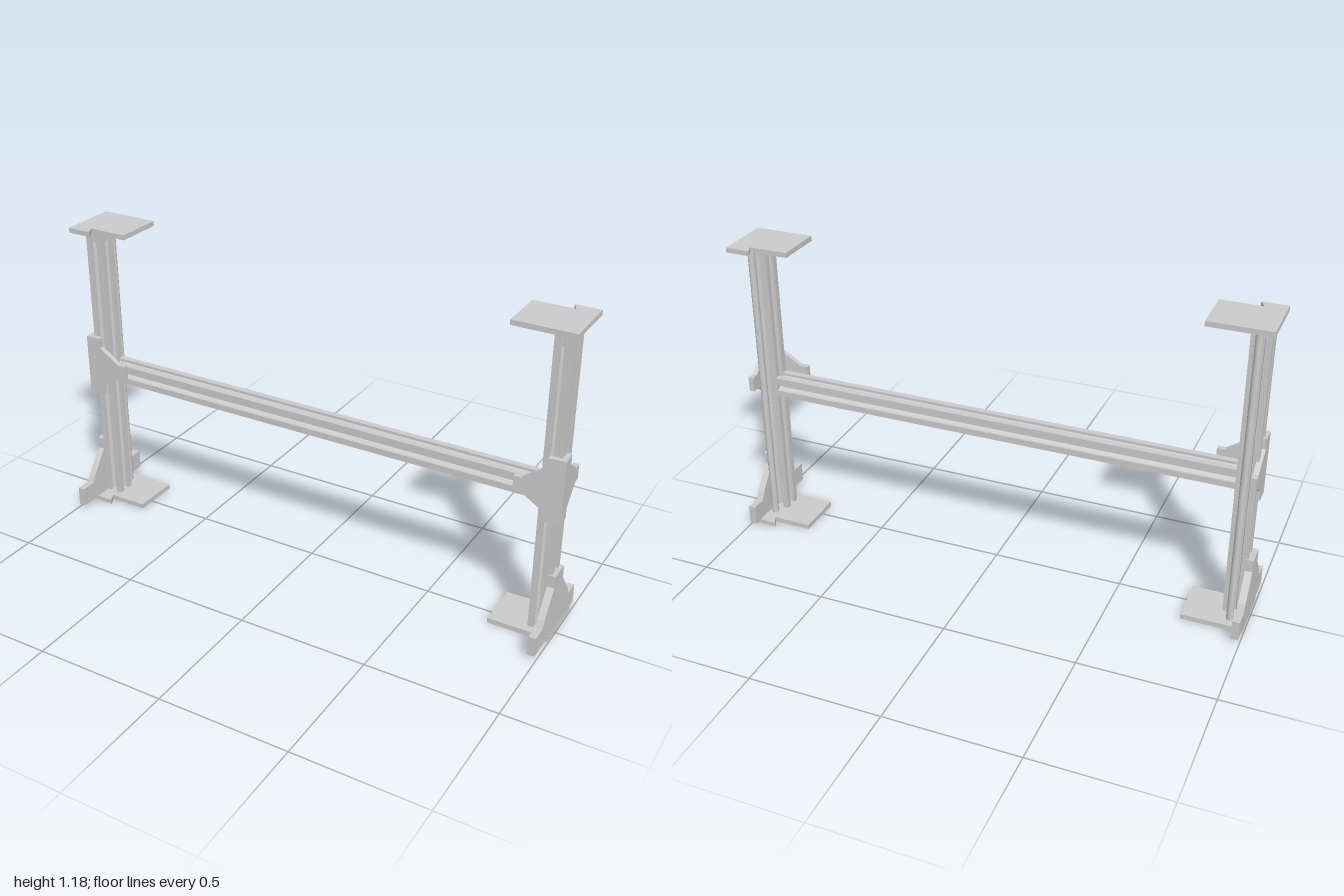
import * as THREE from 'three';

const material = new THREE.MeshStandardMaterial({ color: 0xcccccc, flatShading: true });
const smooth = new THREE.MeshStandardMaterial({ color: 0xcccccc });

function add(parent, name, geometry, mat = material) {
  const mesh = new THREE.Mesh(geometry, mat);
  mesh.name = name;
  parent.add(mesh);
  return mesh;
}

function extrude(points, depth) {
  const shape = new THREE.Shape(points.map(([x, y]) => new THREE.Vector2(x, y)));
  return new THREE.ExtrudeGeometry(shape, { depth, bevelEnabled: false });
}

// Square profile with an undercut slot in each of its four sides
function slottedBar(length, h) {
  const side = [
    [h, -0.014], [h - 0.01, -0.014], [h - 0.01, -0.022], [0.012, -0.008],
    [0.012, 0.008], [h - 0.01, 0.022], [h - 0.01, 0.014], [h, 0.014], [h, h],
  ];
  const outline = [];
  for (let i = 0; i < 4; i++) {
    const c = Math.round(Math.cos(i * Math.PI / 2));
    const s = Math.round(Math.sin(i * Math.PI / 2));
    for (const [x, y] of side) outline.push([c * x - s * y, s * x + c * y]);
  }
  return extrude(outline, length);
}

// End plate with one tab at its outer corner
function endPlate() {
  const outline = [
    [0.767, -0.066], [0.995, -0.066], [0.995, 0.156],
    [0.9, 0.156], [0.918, 0.12], [0.767, 0.12],
  ];
  return extrude(outline, 0.019).rotateX(-Math.PI / 2);
}

// Stepped, tapering plate standing across the foot of a post
function footBracket() {
  const half = [[0.187, 0.017], [0.187, 0.092], [0.126, 0.092], [0.112, 0.12], [0.041, 0.213], [0.041, 0.26]];
  const mirrored = half.map(([z, y]) => [-z, y]).reverse();
  return extrude([...half, ...mirrored], 0.027).rotateY(Math.PI / 2);
}

// Corner bracket: two identical plates meeting along a vertical edge
function cornerBracket() {
  const bracket = new THREE.Group();
  bracket.name = 'cornerBracket';
  const t = 0.02;
  const upper = [[-0.175, 0.028], [-0.145, 0.028], [-0.062, 0.084], [-0.062, 0.123], [0, 0.123]];
  const lower = upper.map(([x, y]) => [x, -y]).reverse();
  const outline = [...upper, ...lower];
  add(bracket, 'frontArm', extrude(outline, t).translate(0, 0, -t));
  add(bracket, 'sideArm', extrude(outline, t).rotateY(-Math.PI / 2));
  return bracket;
}

export function createModel() {
  const model = new THREE.Group();
  model.name = 'frame';

  for (const side of [1, -1]) {
    const label = side > 0 ? 'left' : 'right';
    const x = side > 0 ? 0.943 : -0.938;
    const z = -0.002;

    // Post with its slot plugs at the top
    add(model, label + 'Post', slottedBar(1.146, 0.036).rotateX(-Math.PI / 2)).position.set(x, 0.018, z);
    for (let i = 0; i < 4; i++) {
      const a = i * Math.PI / 2;
      const plug = add(model, label + 'SlotPlug', new THREE.BoxGeometry(0.026, 0.052, 0.012));
      plug.position.set(x + Math.sin(a) * 0.018, 1.136, z + Math.cos(a) * 0.018);
      plug.rotation.y = a;
    }

    // Round rod behind the post
    add(model, label + 'Rod', new THREE.CylinderGeometry(0.013, 0.013, 1.146, 24), smooth)
      .position.set(x, 0.591, -0.076);

    // Top and bottom plates, the second pair turned half way round
    for (const [name, y] of [['BottomPlate', 0], ['TopPlate', 1.163]]) {
      const plate = add(model, label + name, endPlate());
      plate.position.set(0, y, side > 0 ? 0 : -0.054);
      plate.rotation.y = side > 0 ? 0 : Math.PI;
    }

    // Foot bracket on the outer face
    add(model, label + 'FootBracket', footBracket()).position.x = side > 0 ? 0.967 : -0.995;

    // Corner bracket joining post and beam
    const bracket = cornerBracket();
    bracket.position.set(side > 0 ? 1.0 : -0.985, 0.605, 0.067);
    bracket.rotation.y = side > 0 ? 0.07 : -Math.PI / 2;
    model.add(bracket);
  }

  // Cross beam between the posts
  add(model, 'crossBeam', slottedBar(1.81, 0.038).rotateY(Math.PI / 2)).position.set(-0.903, 0.578, -0.006);

  return model;
}
